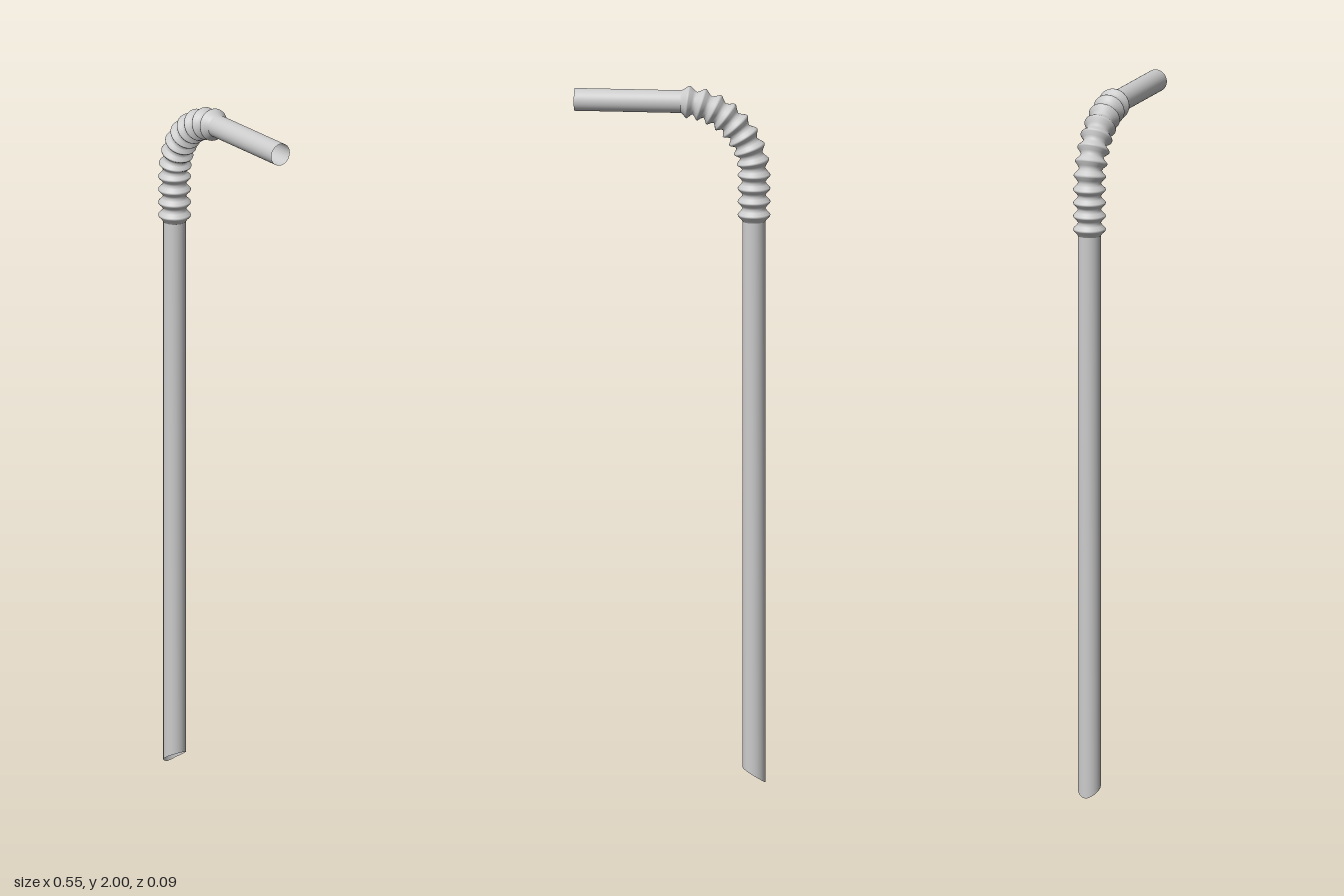
import * as THREE from 'three';

const SIDES = 40;
const R = 0.032;                 // tube radius
const STEM_X = -0.231;
const BEND_R = 0.205;            // radius of the bend's centre line
const BEND_X = STEM_X + BEND_R, BEND_Y = 1.75;
const BEND_LENGTH = BEND_R * Math.PI / 2;
const BELLOWS_START = 1.615, RIBS = 12;
const BELLOWS_END = BEND_Y + BEND_LENGTH;
const TUBE_END = BELLOWS_END + 0.275 - BEND_X;

// Centre line by distance: straight up, a quarter circle, then along +x
function frameAt(s) {
  const angle = THREE.MathUtils.clamp((s - BEND_Y) / BEND_R, 0, Math.PI / 2);
  const normal = new THREE.Vector3(-Math.cos(angle), Math.sin(angle), 0);
  const point = new THREE.Vector3(BEND_X, BEND_Y, 0).addScaledVector(normal, BEND_R);
  if (s < BEND_Y) point.y = s;
  if (s > BELLOWS_END) point.x += s - BELLOWS_END;
  return { point, normal };
}

// Open tube through rings [distance or distance(angle), radius]
function sweep(name, rings, material) {
  const positions = [], index = [];
  rings.forEach(([distance, r], i) => {
    for (let j = 0; j < SIDES; j++) {
      const a = j / SIDES * Math.PI * 2;
      const { point, normal } = frameAt(typeof distance === 'function' ? distance(a) : distance);
      point.addScaledVector(normal, r * Math.cos(a));
      point.z += r * Math.sin(a);
      positions.push(point.x, point.y, point.z);
      if (i === rings.length - 1) continue;
      const k = (j + 1) % SIDES, p = i * SIDES, q = p + SIDES;
      index.push(p + j, p + k, q + j, p + k, q + k, q + j);
    }
  });
  const geometry = new THREE.BufferGeometry();
  geometry.setAttribute('position', new THREE.Float32BufferAttribute(positions, 3));
  geometry.setIndex(index);
  geometry.computeVertexNormals();
  const mesh = new THREE.Mesh(geometry, material);
  mesh.name = name;
  return mesh;
}

export function createModel() {
  const group = new THREE.Group();
  group.name = 'bendyStraw';
  const material = new THREE.MeshStandardMaterial({ color: 0xcccccc, side: THREE.DoubleSide });

  // Stem with a slanted, slightly curved cut at the bottom
  const cut = a => 0.043 * Math.pow((1 - Math.cos(a)) / 2, 0.75);
  group.add(sweep('stem', [[cut, R], [0.06, R], [BELLOWS_START, R]], material));

  // Ribbed flexible section
  const rib = [[0, R], [0.2, 0.037], [0.42, 0.0452], [0.5, 0.046], [0.58, 0.0452], [0.8, 0.037]];
  const pitch = (BELLOWS_END - BELLOWS_START) / RIBS;
  const rings = [];
  for (let i = 0; i < RIBS; i++) {
    for (const [t, r] of rib) rings.push([BELLOWS_START + (i + t) * pitch, r]);
  }
  rings.push([BELLOWS_END, R]);
  group.add(sweep('bellows', rings, material));

  // Straight drinking end
  group.add(sweep('mouthpiece', [[BELLOWS_END, R], [TUBE_END, R]], material));
  return group;
}
